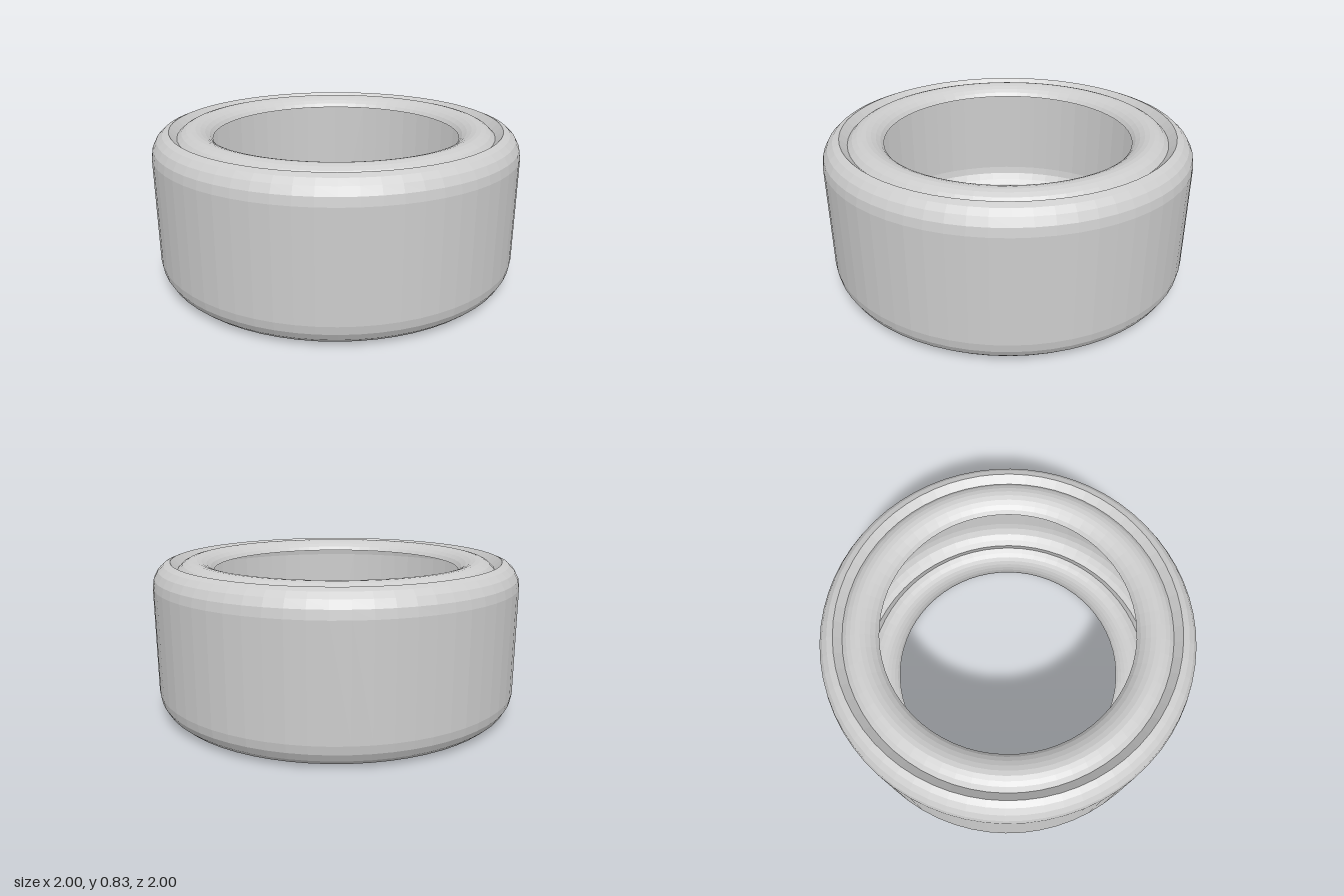
import * as THREE from 'three';

const HEIGHT = 0.83;
const SEGMENTS = 64;

// Upper half of the thin tyre shell as [radius, y], from tread over the sidewall to the open lip
const upperHalf = [
  [1, 0.7], [0.992, 0.745], [0.97, 0.785], [0.94, 0.812], [0.905, 0.826], // tread and shoulder
  [0.865, 0.787], // step down to the sidewall
  [0.84, 0.811], [0.815, 0.824], [0.79, 0.83], [0.765, 0.829],
  [0.74, 0.822], [0.715, 0.81], [0.692, 0.793], [0.675, 0.772], // rounded sidewall and lip
];

export function createModel() {
  const group = new THREE.Group();
  group.name = 'tyre';

  const rubber = new THREE.MeshStandardMaterial({ color: 0xcccccc, flatShading: true, side: THREE.DoubleSide });
  rubber.name = 'light grey';

  // Mirror the half section, running from the lower lip to the upper lip
  const lowerHalf = upperHalf.map(([r, y]) => [r, HEIGHT - y]).reverse();
  const profile = [...lowerHalf, ...upperHalf].map(([r, y]) => new THREE.Vector2(r, y));

  const shell = new THREE.Mesh(new THREE.LatheGeometry(profile, SEGMENTS), rubber);
  shell.name = 'tyreShell';
  group.add(shell);
  return group;
}
